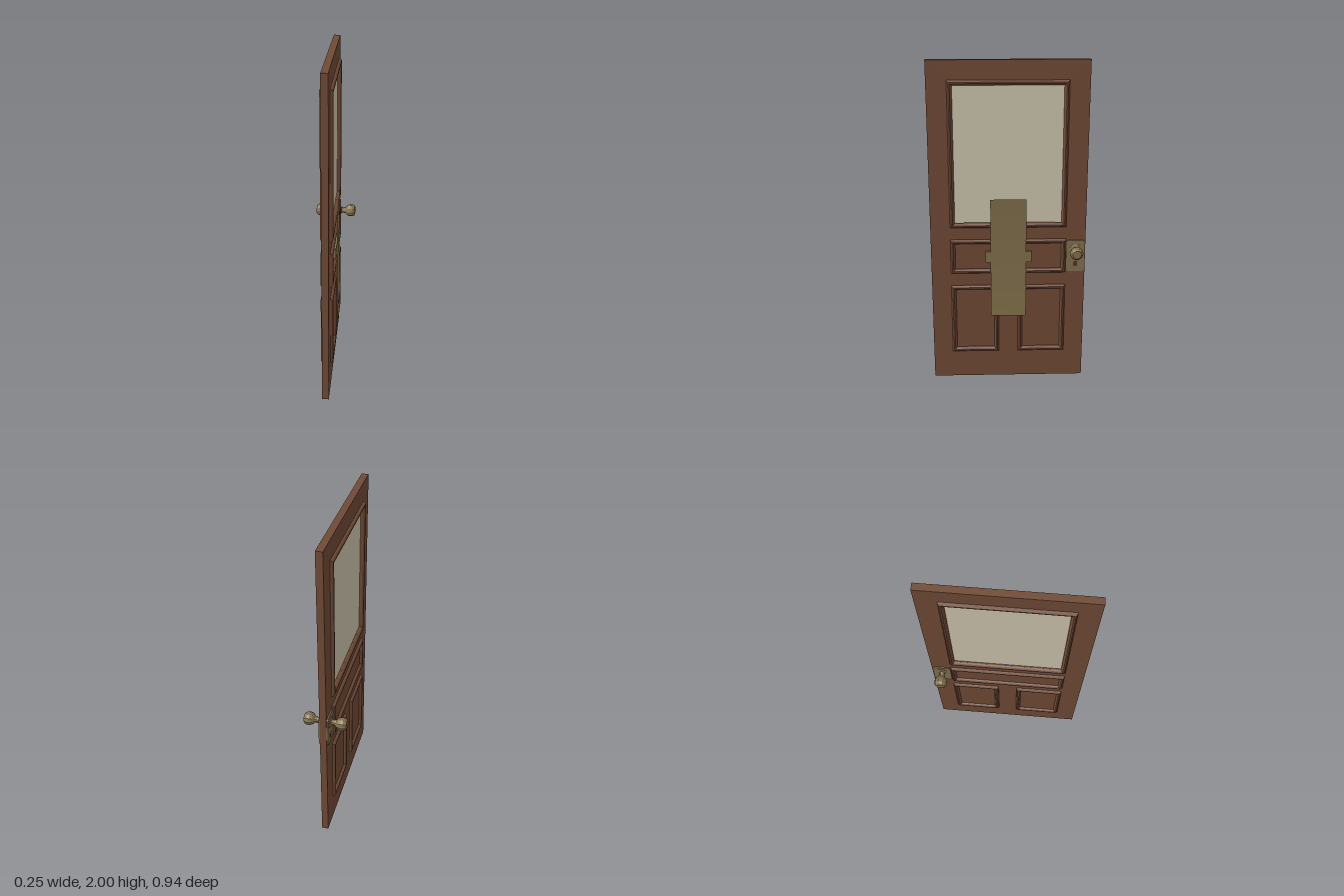
import * as THREE from 'three';

const mat = (name, color, side = THREE.FrontSide) => {
  const m = new THREE.MeshStandardMaterial({ color, flatShading: true, side });
  m.name = name;
  return m;
};

export function createModel() {
  const wood = mat('brown wood', 0x704a35);
  const pane = mat('frosted pane', 0xcdc5ad);
  const brass = mat('aged brass', 0x82704b);
  const sheetBrass = brass.clone();
  sheetBrass.side = THREE.DoubleSide;
  const dark = mat('keyhole dark', 0x4a3d28);

  const door = new THREE.Group();
  door.name = 'door';
  const add = (name, geo, material, x = 0, y = 0, z = 0, parent = door) => {
    const m = new THREE.Mesh(geo, material);
    m.name = name;
    m.position.set(x, y, z);
    parent.add(m);
    return m;
  };

  // Outline drawn in (-z, y), extruded along x and centred on the door plane
  const plate = (shape, depth) =>
    new THREE.ExtrudeGeometry(shape, { depth, bevelEnabled: false })
      .translate(0, 0, -depth / 2).rotateY(Math.PI / 2);
  const polygon = pts => new THREE.Shape(pts.map(p => new THREE.Vector2(...p)));
  const rect = (w, y0, y1) => [[-w, y0], [w, y0], [w, y1], [-w, y1]];

  // Door slab with the window opening
  const slab = polygon(rect(0.47, 0, 2));
  slab.holes.push(polygon(rect(0.325, 1.035, 1.857)));
  add('doorSlab', plate(slab, 0.04), wood);
  add('windowPane', new THREE.BoxGeometry(0.024, 0.822, 0.65), pane, 0, 1.446, 0);

  // Mitred moulding: rectangular loops stepping through [inset, height]
  const profile = [[0, 0.019], [0.002, 0.028], [0.01, 0.037], [0.018, 0.037], [0.026, 0.029], [0.03, 0.019]];
  function moulding(z0, z1, y0, y1, steps) {
    const loops = steps.map(([i, x]) => [
      [x, y0 + i, z1 - i], [x, y0 + i, z0 + i], [x, y1 - i, z0 + i], [x, y1 - i, z1 - i]]);
    const pos = [];
    for (let s = 0; s < loops.length - 1; s++) {
      for (let k = 0; k < 4; k++) {
        const n = (k + 1) % 4, a = loops[s][k], b = loops[s][n], c = loops[s + 1][n], d = loops[s + 1][k];
        pos.push(...a, ...b, ...c, ...a, ...c, ...d);
      }
    }
    const g = new THREE.BufferGeometry();
    g.setAttribute('position', new THREE.Float32BufferAttribute(pos, 3));
    g.computeVertexNormals();
    return g;
  }
  for (const side of [0, 1]) {
    const face = new THREE.Group();
    face.name = side ? 'rightFaceMouldings' : 'leftFaceMouldings';
    face.rotation.y = side * Math.PI;
    door.add(face);
    add('windowMoulding', moulding(-0.352, 0.352, 1.005, 1.887, [...profile, [0.03, 0.01]]), wood, 0, 0, 0, face);
    add('middlePanelMoulding', moulding(-0.352, 0.352, 0.71, 0.93, profile), wood, 0, 0, 0, face);
    add('lowerPanelMouldingA', moulding(-0.352, -0.058, 0.178, 0.63, profile), wood, 0, 0, 0, face);
    add('lowerPanelMouldingB', moulding(0.058, 0.352, 0.178, 0.63, profile), wood, 0, 0, 0, face);
  }

  // Lock plates, knobs and keyholes on both faces
  const w = 0.055, c = 0.01;
  const lockShape = polygon([[-w + c, -0.1], [w - c, -0.1], [w, -0.1 + c], [w, 0.1 - c],
    [w - c, 0.1], [-w + c, 0.1], [-w, 0.1 - c], [-w, -0.1 + c]]);
  const keyShape = polygon([[-0.012, -0.018], [0.012, -0.018], [0.012, 0.01], [0, 0.02], [-0.012, 0.01]]);
  const knobProfile = [[0, 0.02], [0.036, 0.02], [0.036, 0.03], [0.02, 0.036], [0.017, 0.05], [0.021, 0.064],
    [0.034, 0.076], [0.04, 0.092], [0.04, 0.107], [0.034, 0.121], [0.026, 0.127], [0, 0.127]]
    .map(p => new THREE.Vector2(...p));
  for (const s of [1, -1]) {
    add('lockPlate', plate(lockShape, 0.009), brass, s * 0.0235, 0.82, -0.41);
    add('keyhole', plate(keyShape, 0.004), dark, s * 0.0275, 0.77, -0.41);
    add('doorKnob', new THREE.LatheGeometry(knobProfile, 10).rotateZ(-s * Math.PI / 2), brass, 0, 0.862, -0.409);
  }

  // Mail slot bar and the long bowed sheet hanging across it
  add('mailSlotBar', new THREE.BoxGeometry(0.02, 0.068, 0.28), brass, 0.029, 0.82, 0);
  const sheet = new THREE.PlaneGeometry(0.216, 0.755, 1, 14).rotateY(Math.PI / 2);
  const p = sheet.attributes.position;
  for (let i = 0; i < p.count; i++) {
    const t = p.getY(i) / 0.3775;
    p.setX(i, 0.041 + 0.011 * t * t);
  }
  sheet.computeVertexNormals();
  add('hangingSheet', sheet, sheetBrass, 0, 0.8125, 0);

  return door;
}
